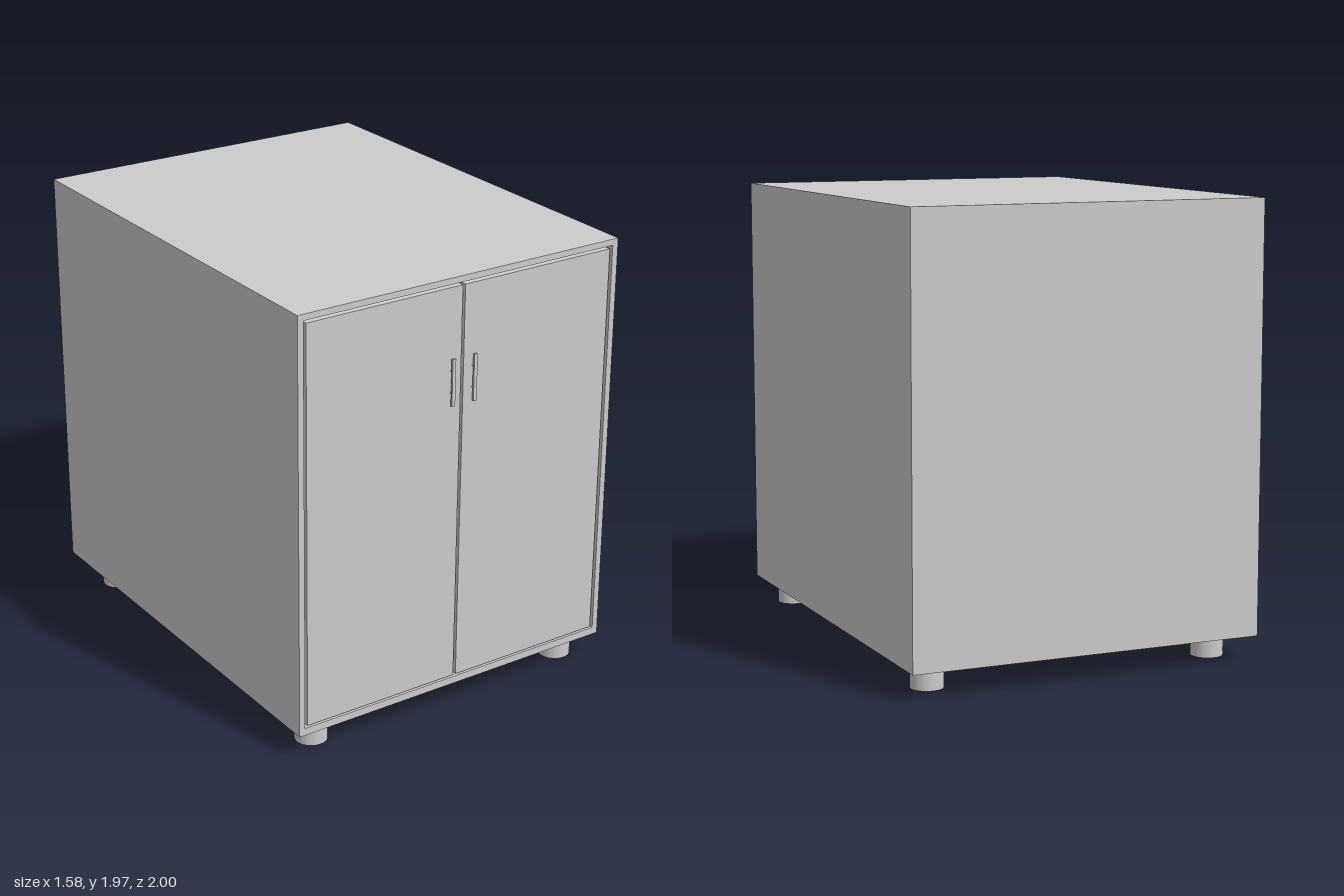
import * as THREE from 'three';

export function createModel() {
  const model = new THREE.Group();
  model.name = 'cabinet';
  const material = new THREE.MeshStandardMaterial({ color: 0xcccccc });

  const add = (name, geometry, x, y, z) => {
    const mesh = new THREE.Mesh(geometry, material);
    mesh.name = name;
    mesh.position.set(x, y, z);
    model.add(mesh);
  };
  // Box given by its min and max corners
  const addBox = (name, [x0, y0, z0], [x1, y1, z1]) =>
    add(name, new THREE.BoxGeometry(x1 - x0, y1 - y0, z1 - z0),
      (x0 + x1) / 2, (y0 + y1) / 2, (z0 + z1) / 2);

  const halfW = 0.788, bottom = 0.11, top = 1.967, back = -1, front = 0.982;
  const wall = 0.027, gap = 0.013;

  // Carcass: four walls extruded as one open frame
  const outline = new THREE.Shape([
    new THREE.Vector2(-halfW, bottom), new THREE.Vector2(halfW, bottom),
    new THREE.Vector2(halfW, top), new THREE.Vector2(-halfW, top),
  ]);
  const inX = halfW - wall, inBottom = bottom + 0.033, inTop = top - wall;
  outline.holes.push(new THREE.Path([
    new THREE.Vector2(-inX, inBottom), new THREE.Vector2(-inX, inTop),
    new THREE.Vector2(inX, inTop), new THREE.Vector2(inX, inBottom),
  ]));
  add('carcass', new THREE.ExtrudeGeometry(outline, { depth: front - back, bevelEnabled: false }), 0, 0, back);

  // Back panel closing the frame
  addBox('backPanel', [-inX, inBottom, back], [inX, inTop, back + wall]);

  for (const [side, s] of [['left', 1], ['right', -1]]) {
    // Inset door with a narrow gap all round
    const xs = [s * gap / 2, s * (inX - gap)].sort((a, b) => a - b);
    addBox(side + 'Door', [xs[0], inBottom + 0.008, front - 0.034], [xs[1], inTop - gap, front - 0.002]);

    // Handle bar on two short posts
    const hx = s * 0.054;
    addBox(side + 'HandleBar', [hx - 0.008, 1.42, 0.991], [hx + 0.008, 1.625, 1]);
    for (const y of [1.475, 1.57]) {
      const post = new THREE.CylinderGeometry(0.005, 0.005, 0.014, 12).rotateX(Math.PI / 2);
      add(side + 'HandlePost', post, hx, y, 0.986);
    }

    // Round feet
    for (const [end, z] of [['Front', 0.855], ['Back', -0.808]])
      add(side + end + 'Foot', new THREE.CylinderGeometry(0.071, 0.071, bottom, 32), s * 0.65, bottom / 2, z);
  }
  return model;
}
